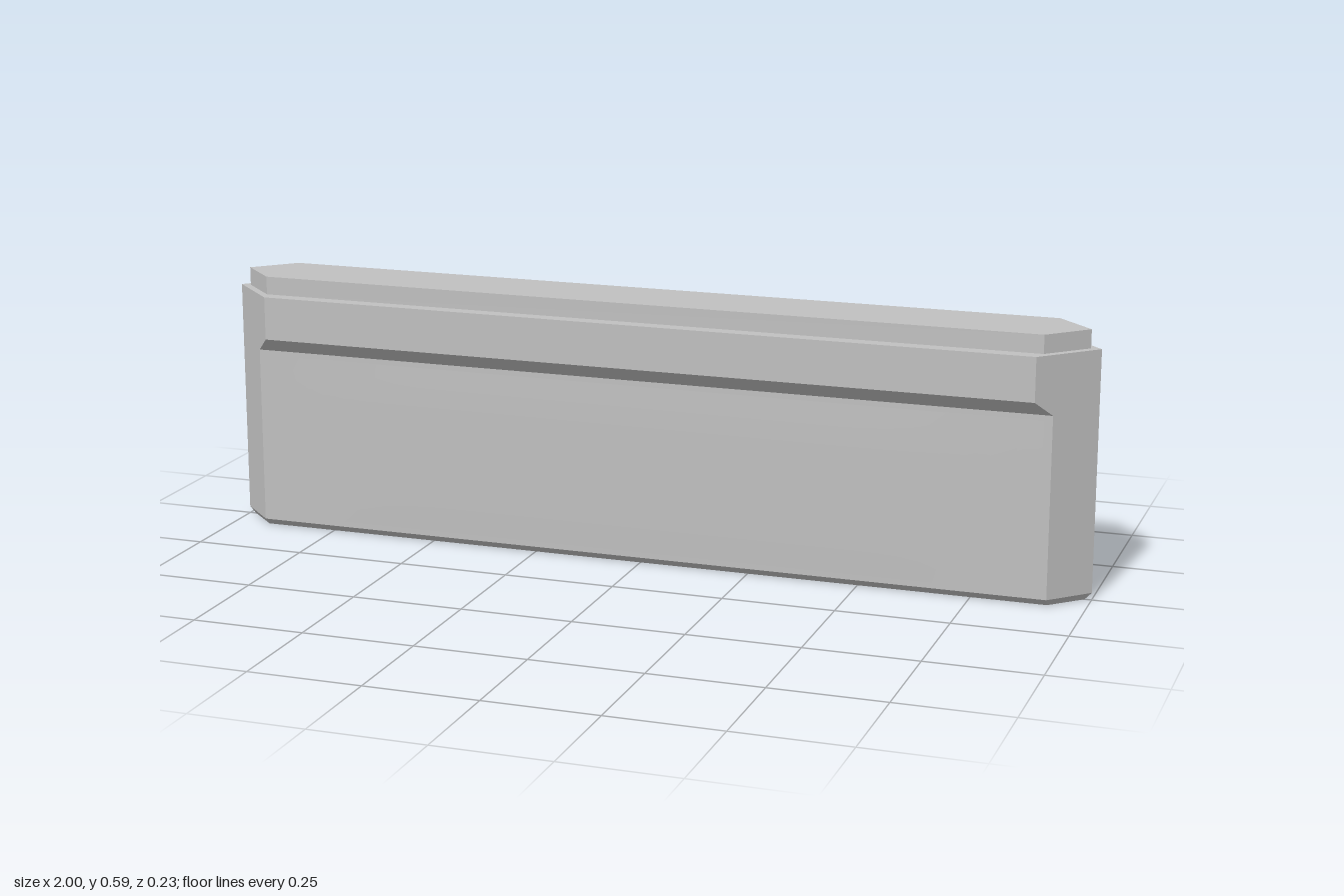
import * as THREE from 'three';

const grey = new THREE.MeshStandardMaterial({ color: 0xc0c0c0 });
grey.name = 'plain grey';

// Six-sided outline with pointed ends: [height, tip x, corner x, half depth]
function ring([y, tip, corner, d]) {
  return [[tip, y, 0], [corner, y, d], [-corner, y, d], [-tip, y, 0], [-corner, y, -d], [corner, y, -d]];
}

// Closed, flat-faced solid through a stack of outlines, bottom to top
function loft(name, sections) {
  const rings = sections.map(ring);
  const pos = [];
  const tri = (a, b, c) => pos.push(...a, ...b, ...c);
  for (let k = 0; k < rings.length - 1; k++) {
    for (let i = 0; i < 6; i++) {
      const j = (i + 1) % 6, lo = rings[k], hi = rings[k + 1];
      tri(lo[i], hi[i], lo[j]);
      tri(lo[j], hi[i], hi[j]);
    }
  }
  const bottom = rings[0], top = rings[rings.length - 1];
  for (let i = 1; i < 5; i++) {
    tri(bottom[0], bottom[i], bottom[i + 1]);
    tri(top[0], top[i + 1], top[i]);
  }
  const geo = new THREE.BufferGeometry();
  geo.setAttribute('position', new THREE.Float32BufferAttribute(pos, 3));
  geo.computeVertexNormals();
  const mesh = new THREE.Mesh(geo, grey);
  mesh.name = name;
  return mesh;
}

// Very slightly swollen face, flush at its border
function sidePanel(name, turn) {
  const geo = new THREE.PlaneGeometry(1.8, 0.38, 32, 12);
  const p = geo.attributes.position;
  const ease = (t) => THREE.MathUtils.smoothstep(t, 0, 1);
  for (let i = 0; i < p.count; i++) {
    const x = Math.abs(p.getX(i)), y = Math.abs(p.getY(i));
    p.setZ(i, 0.0015 * ease((0.9 - x) / 0.4) * ease((0.19 - y) / 0.06));
  }
  geo.computeVertexNormals();
  geo.translate(0, 0.218, 0.0821);
  geo.rotateY(turn);
  const mesh = new THREE.Mesh(geo, grey);
  mesh.name = name;
  return mesh;
}

export function createModel() {
  const model = new THREE.Group();
  model.name = 'pointedWallBlock';
  // Body with chamfered foot and a wider band under the top
  model.add(loft('body', [
    [0, 0.985, 0.917, 0.066],
    [0.016, 1, 0.918, 0.082],
    [0.42, 1, 0.918, 0.082],
    [0.453, 1, 0.885, 0.115],
    [0.551, 1, 0.885, 0.115],
  ]));
  // Narrower raised slab on top
  model.add(loft('topSlab', [
    [0.551, 0.977, 0.894, 0.083],
    [0.592, 0.977, 0.894, 0.083],
  ]));
  model.add(sidePanel('frontPanel', 0), sidePanel('backPanel', Math.PI));
  return model;
}
